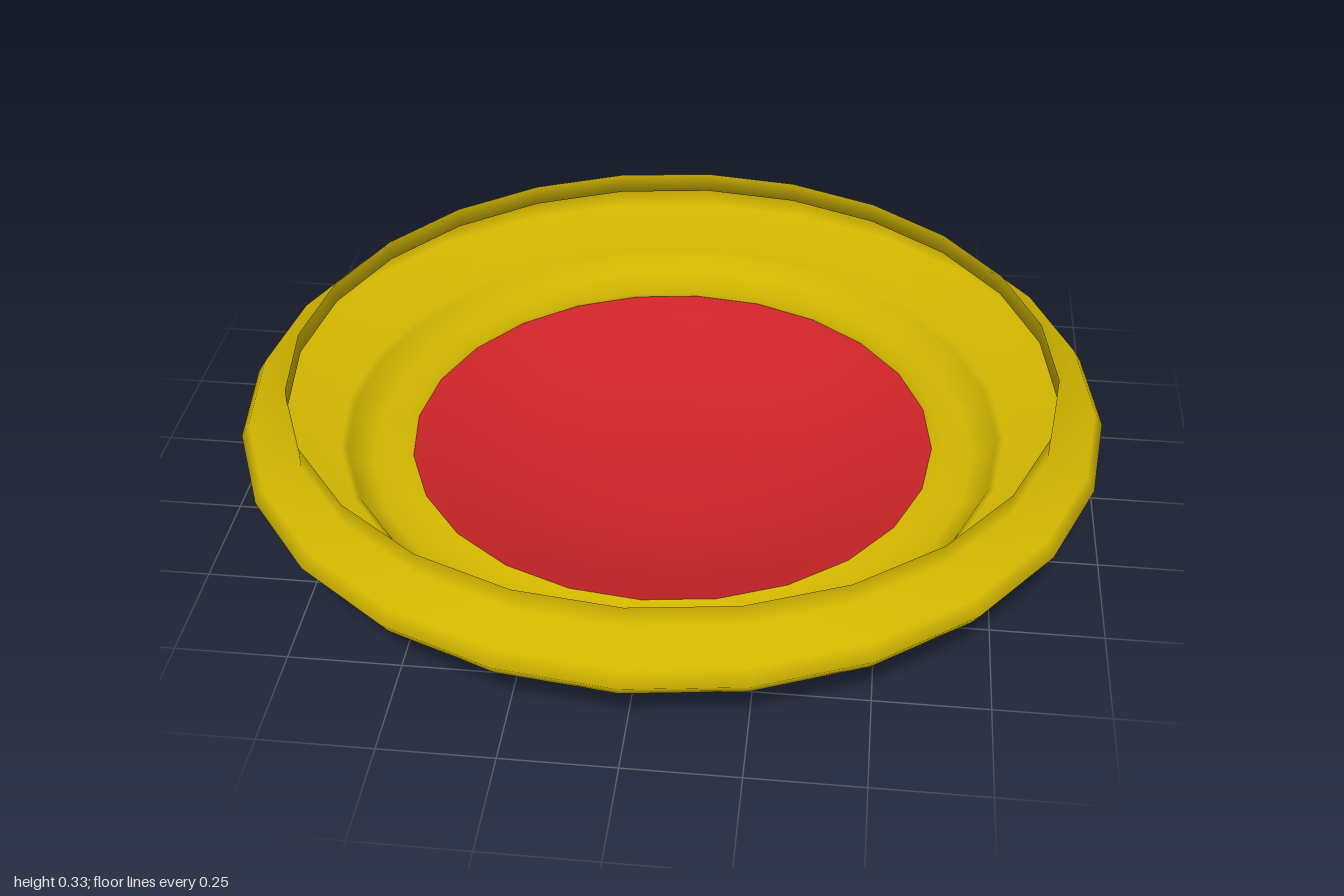
import * as THREE from 'three';

const SIDES = 24;

// Revolves a list of [radius, height] points around the y axis as a thin sheet
function turned(name, points, color) {
  const profile = points.map(([r, y]) => new THREE.Vector2(r, y));
  const material = new THREE.MeshStandardMaterial({ color, side: THREE.DoubleSide });
  const mesh = new THREE.Mesh(new THREE.LatheGeometry(profile, SIDES), material);
  mesh.name = name;
  return mesh;
}

export function createModel() {
  const group = new THREE.Group();
  group.name = 'dish';

  // Shallow rounded centre
  const centre = [
    [0, 0], [0.12, 0], [0.22, 0.006], [0.32, 0.02],
    [0.42, 0.045], [0.51, 0.075], [0.57, 0.1], [0.615, 0.115],
  ];
  group.add(turned('centreDish', centre, 0xcc2428));

  // Stepped ring, hollow outer rim and upright lip in one thin shell
  const shell = [
    [0.615, 0.115], [0.65, 0.1], [0.71, 0.1], [0.745, 0.115],
    [0.765, 0.15], [0.78, 0.16], [0.85, 0.16], [0.9, 0.185],
    [0.98, 0.185], [1, 0.215], [0.98, 0.248], [0.89, 0.28], [0.89, 0.33],
  ];
  group.add(turned('rimShell', shell, 0xd0b400));

  return group;
}
